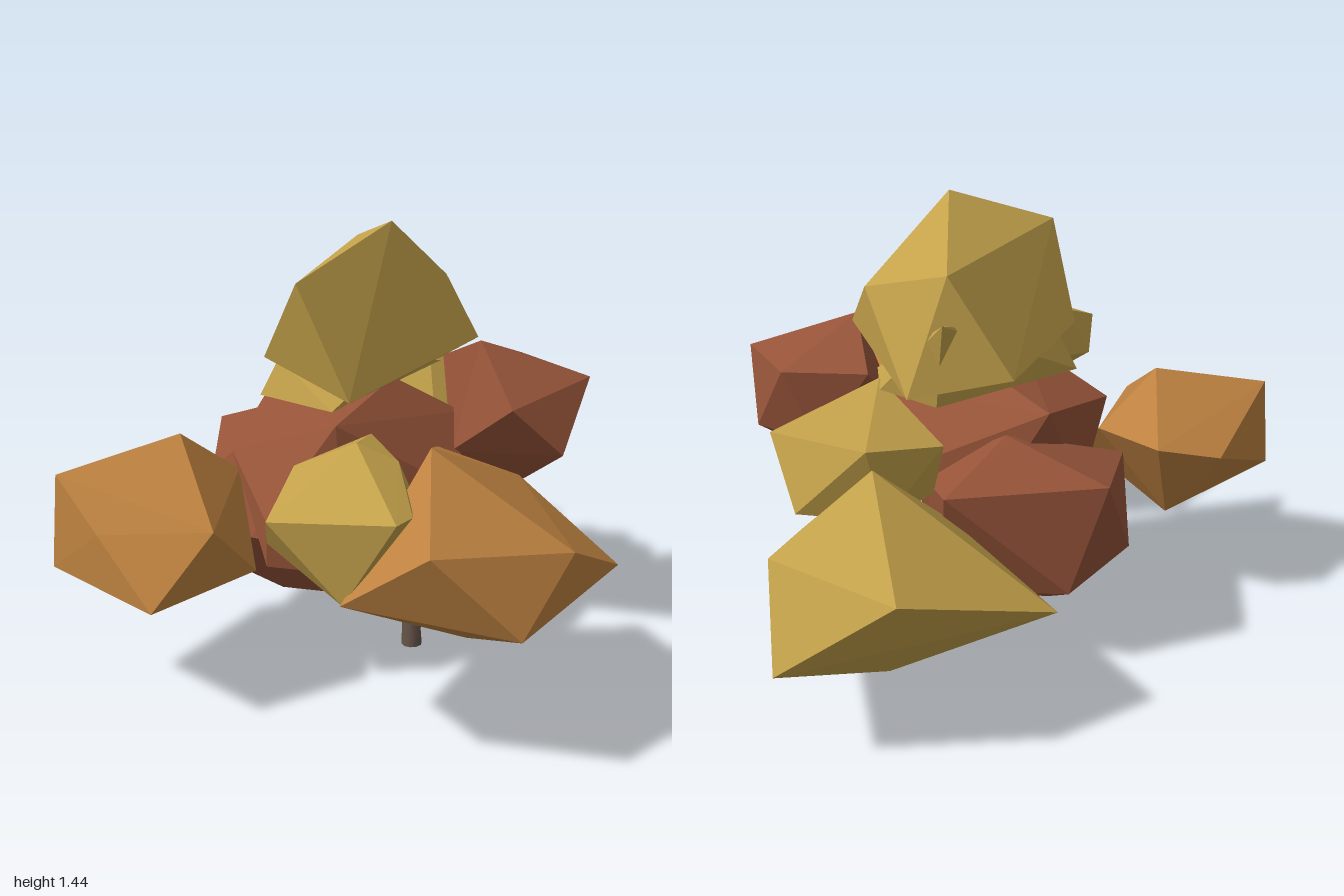
import * as THREE from 'three';
import { ConvexGeometry } from 'three/addons/geometries/ConvexGeometry.js';

const V = (a) => new THREE.Vector3(...a);

function material(name, color, flatShading) {
  const m = new THREE.MeshStandardMaterial({ color, flatShading });
  m.name = name;
  return m;
}

// Tapered limb along a curve
function limbGeometry(path, r0, r1, sides) {
  const curve = new THREE.CatmullRomCurve3(path.map(V));
  const steps = (path.length - 1) * 3;
  const geo = new THREE.TubeGeometry(curve, steps, 1, sides);
  const pos = geo.attributes.position;
  const p = new THREE.Vector3();
  for (let i = 0; i < pos.count; i++) {
    const s = Math.floor(i / (sides + 1)) / steps;
    const c = curve.getPointAt(s);
    p.fromBufferAttribute(pos, i).sub(c).multiplyScalar(r0 + (r1 - r0) * s).add(c);
    pos.setXYZ(i, p.x, Math.max(p.y, 0), p.z);
  }
  geo.computeVertexNormals();
  return geo;
}

export function createModel() {
  const tree = new THREE.Group();
  tree.name = 'autumnTree';
  const gold = material('goldLeaves', 0xc4a24b, true);
  const orange = material('orangeLeaves', 0xbe8240, true);
  const rust = material('rustLeaves', 0x965439, true);
  const bark = material('bark', 0x66544a, false);

  const add = (name, geometry, mat) => {
    const mesh = new THREE.Mesh(geometry, mat);
    mesh.name = name;
    tree.add(mesh);
  };

  // Faceted leaf clump: the hull around a handful of corners
  const clump = (name, mat, ...corners) => add(name, new ConvexGeometry(corners.map(V)), mat);

  // Gold clumps
  clump('topClump', gold,
    [0.2, 1.44, 0.06], [-0.115, 1.3, 0.26], [-0.195, 1.02, 0.05], [0.04, 0.94, 0.3], [0.43, 1.21, -0.2],
    [0.505, 1.04, -0.03], [0.16, 1.31, -0.39], [-0.03, 1, -0.4], [0.28, 0.945, -0.43], [0.25, 0.92, 0]);
  clump('upperBackClump', gold,
    [-0.205, 0.88, 0], [-0.145, 1, 0], [0, 0.88, 0.2], [0.41, 0.93, -0.15], [0.38, 0.92, -0.3],
    [0.17, 1.18, -0.445], [0.2, 0.9, -0.38], [0.2, 1, 0.05], [0.1, 0.86, 0]);
  clump('smallFrontClump', gold,
    [0.02, 0.925, 0.6], [0.1, 0.86, 0.35], [-0.08, 0.75, 0.39], [-0.25, 0.78, 0.79], [-0.24, 0.67, 0.68],
    [-0.155, 0.865, 0.6], [0.08, 0.81, 0.925], [0.137, 0.8, 0.85], [0.14, 0.865, 0.6], [0.19, 0.75, 0.5],
    [-0.05, 0.55, 0.85], [0.05, 0.6, 0.4]);
  clump('lowBackClump', gold,
    [0.36, 0.8, -0.6], [0.24, 0.6, -1], [0.595, 0.34, -0.965], [0.63, 0.61, -0.785], [0.695, 0.315, -0.53],
    [0.33, 0.14, -0.63], [-0.175, 0.42, -0.71], [0.16, 0.52, -0.375], [0.35, 0.24, -0.305],
    [0.05, 0.25, -0.5], [0.62, 0.5, -0.42]);
  clump('midBackClump', gold,
    [0.39, 0.935, -0.245], [0.39, 0.82, -0.53], [0.595, 0.64, -0.58], [0.685, 0.84, -0.45], [0.65, 0.7, -0.22],
    [0.18, 0.78, -0.39], [0.45, 0.53, -0.25], [0.4, 0.65, -0.135], [0.22, 0.6, -0.35],
    [0.35, 0.58, -0.5]);

  // Orange clumps
  clump('rightClump', orange,
    [-0.465, 0.82, 0.17], [-0.84, 0.74, 0.27], [-0.865, 0.44, 0.27], [-0.57, 0.41, 0.57], [-0.72, 0.6, 0.415],
    [-0.38, 0.62, 0.48], [-0.25, 0.43, 0.35], [-0.28, 0.65, 0.05], [-0.515, 0.322, 0.1],
    [-0.675, 0.6, -0.05], [-0.47, 0.65, -0.11]);
  clump('frontClump', orange,
    [0.155, 0.745, 1], [0.41, 0.49, 1], [0.825, 0.48, 0.54], [0.59, 0.67, 0.84], [0.23, 0.905, 0.61],
    [0.355, 0.295, 0.6], [-0.06, 0.56, 0.87], [0.58, 0.675, 0.27], [0.3, 0.515, 0.19], [0.3, 0.815, 0.36]);

  // Rust clumps
  clump('leftClump', rust,
    [0.5, 1.045, 0.03], [0.86, 0.918, 0.05], [0.815, 0.7, -0.1], [0.727, 0.72, 0.24], [0.55, 0.886, 0.27],
    [0.7, 0.93, -0.21], [0.43, 0.93, -0.21], [0.645, 0.594, 0.1], [0.55, 0.51, 0], [0.6, 0.68, -0.19],
    [0.4, 0.7, 0.1]);
  clump('centreClump', rust,
    [-0.305, 0.74, 0.11], [-0.22, 0.46, 0.39], [-0.22, 0.6, 0.37], [0.02, 0.42, 0.39], [-0.13, 0.85, -0.29],
    [0.215, 0.94, 0.05], [0.415, 0.6, 0.2], [0.2, 0.28, 0.1], [0.4, 0.6, -0.25], [-0.23, 0.48, -0.05],
    [0, 0.87, 0.3], [0.1, 0.45, -0.3], [0.45, 0.8, 0]);
  clump('lowClump', rust,
    [-0.39, 0.295, -0.1], [-0.127, 0.122, -0.15], [0.26, 0.165, 0.08], [-0.315, 0.67, -0.415],
    [0.175, 0.64, -0.465], [0.2, 0.23, -0.31], [0.1, 0.37, 0.19], [-0.25, 0.46, 0.17], [0.3, 0.58, -0.15],
    [-0.36, 0.62, -0.06], [-0.2, 0.3, -0.42], [0, 0.78, -0.3]);

  // Trunk with its base cap
  add('trunk', limbGeometry([[0.29, 0, 0.08], [0.285, 0.2, 0.07], [0.3, 0.38, 0.045], [0.325, 0.5, 0.03]], 0.035, 0.007, 10), bark);
  const base = new THREE.CircleGeometry(0.035, 10);
  base.rotateX(Math.PI / 2).translate(0.29, 0.002, 0.08);
  add('trunkBase', base, bark);

  // Branches and twigs: path, start radius, end radius
  const limbs = [
    ['sideBranch', [[0.3, 0.06, 0.08], [0.325, 0.12, 0.09], [0.31, 0.22, 0.13], [0.3, 0.34, 0.16]], 0.018, 0.007],
    ['frontBranch', [[0.3, 0.1, 0.09], [0.3, 0.17, 0.15], [0.31, 0.26, 0.22], [0.3, 0.4, 0.34]], 0.015, 0.006],
    ['frontTwig', [[0.305, 0.24, 0.2], [0.27, 0.32, 0.23], [0.24, 0.38, 0.3]], 0.007, 0.003],
    ['lowTwig', [[0.28, 0.18, 0.08], [0.2, 0.195, 0.12], [0.14, 0.2, 0.15], [0.09, 0.22, 0.18]], 0.008, 0.003],
    ['backTwig', [[0.322, 0.49, 0.035], [0.35, 0.47, -0.01], [0.37, 0.45, -0.05], [0.38, 0.54, -0.09]], 0.008, 0.004],
  ];
  for (const [name, path, r0, r1] of limbs) {
    add(name, limbGeometry(path, r0, r1, 6), bark);
  }

  return tree;
}
